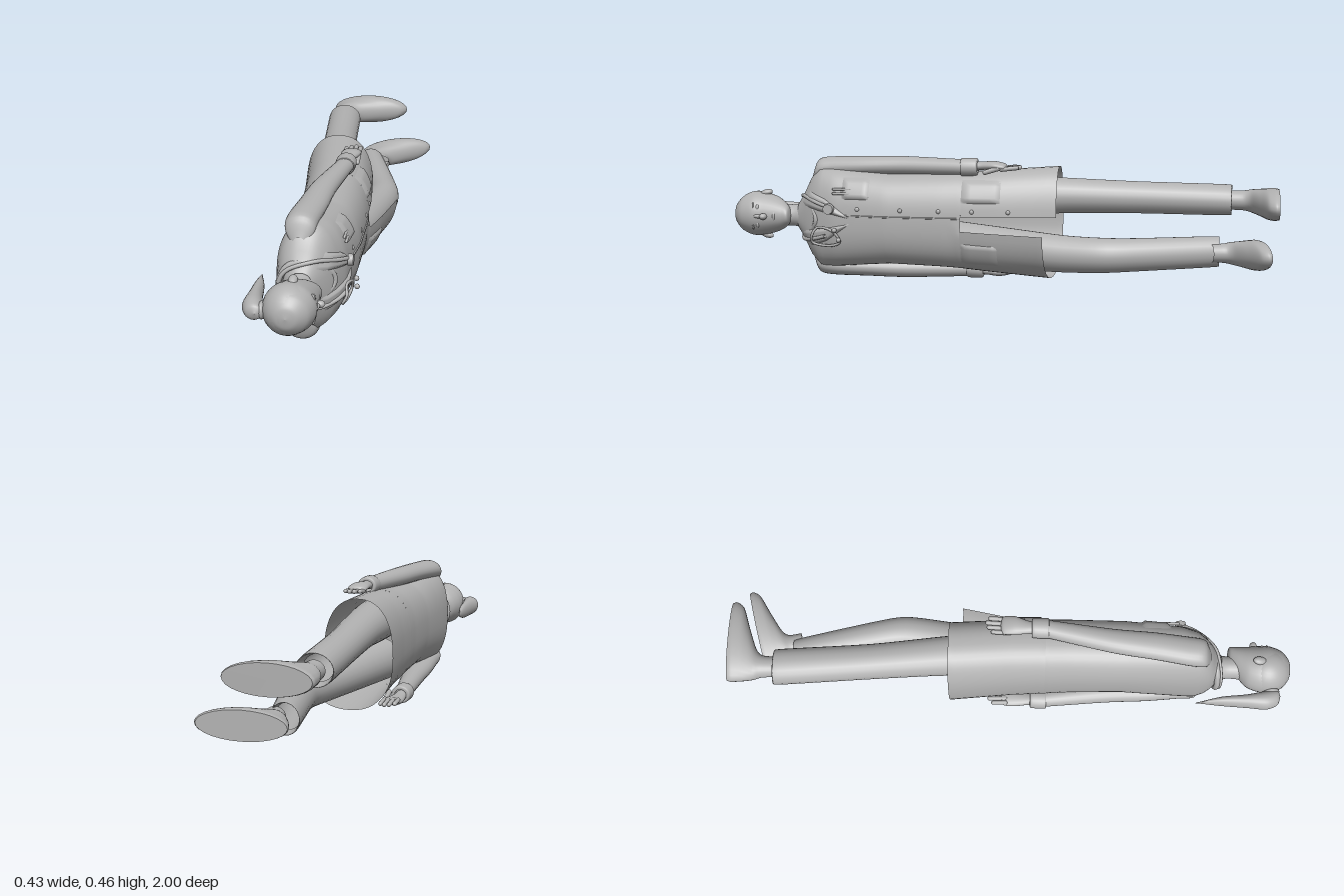
import * as THREE from 'three';

const grey = new THREE.MeshStandardMaterial({ color: 0xb2b2b2, side: THREE.DoubleSide });
grey.name = 'plain grey';

const lerp = THREE.MathUtils.lerp;

function add(parent, name, geometry, pos = [0, 0, 0], scale = [1, 1, 1], rot = [0, 0, 0]) {
  const mesh = new THREE.Mesh(geometry, grey);
  mesh.name = name;
  mesh.position.set(...pos);
  mesh.scale.set(...scale);
  mesh.rotation.set(...rot);
  parent.add(mesh);
  return mesh;
}

// Smooth grid from point(u, v), u = 0..1 around, v = 0..1 along
function sheet(nu, nv, point, closed = false) {
  const pos = [], idx = [], w = closed ? nu : nu + 1;
  for (let j = 0; j <= nv; j++)
    for (let i = 0; i < w; i++) pos.push(...point(i / nu, j / nv));
  for (let j = 0; j < nv; j++)
    for (let i = 0; i < nu; i++) {
      const a = j * w + i, b = j * w + (i + 1) % w, c = a + w, d = b + w;
      idx.push(a, c, b, b, c, d);
    }
  const g = new THREE.BufferGeometry();
  g.setAttribute('position', new THREE.Float32BufferAttribute(pos, 3));
  g.setIndex(idx);
  g.computeVertexNormals();
  return g;
}

// Loft through elliptical rings [x, y, z, rx, ry] listed from high z to low z
function loft(rings, sides = 24, steps = 5) {
  const curve = (f) => new THREE.CatmullRomCurve3(rings.map(f), false, 'catmullrom', 0.4);
  const centre = curve((r) => new THREE.Vector3(r[0], r[1], r[2]));
  const radius = curve((r) => new THREE.Vector3(r[3], r[4], 0));
  return sheet(sides, (rings.length - 1) * steps, (u, v) => {
    const a = u * Math.PI * 2, c = centre.getPoint(v), r = radius.getPoint(v);
    return [c.x + Math.max(r.x, 0) * Math.cos(a), c.y + Math.max(r.y, 0) * Math.sin(a), c.z];
  }, true);
}

function tube(points, r, closed = false) {
  const path = new THREE.CatmullRomCurve3(points.map((p) => new THREE.Vector3(...p)), closed);
  return new THREE.TubeGeometry(path, 40, r, 8, closed);
}

// Coat profile: z, back x, front x, half width
const MID = 0.235, E = 0.85, SPLIT = 0.12;
const PROFILE = [
  [0.75, -0.10, -0.02, 0.05], [0.725, -0.125, 0.0, 0.09], [0.70, -0.14, 0.02, 0.145],
  [0.66, -0.15, 0.045, 0.185], [0.6, -0.15, 0.068, 0.182], [0.4, -0.145, 0.088, 0.165],
  [0.2, -0.15, 0.087, 0.172], [0, -0.165, 0.08, 0.185], [-0.23, -0.19, 0.06, 0.2],
];
function profile(z) {
  let i = 0;
  while (i < PROFILE.length - 2 && z < PROFILE[i + 1][0]) i++;
  const a = PROFILE[i], b = PROFILE[i + 1], t = (z - a[0]) / (b[0] - a[0]);
  const [back, front, ry] = [1, 2, 3].map((k) => lerp(a[k], b[k], t));
  return { cx: (back + front) / 2, rx: (front - back) / 2, ry };
}
// The right side of the skirt is pushed forward by the bent knee
const push = (z, cos) => 0.09 * Math.max(0, (0.15 - z) / 0.35) * (1 + cos) / 2;
const bend = (v) => Math.sign(v) * Math.abs(v) ** E;

function coatPoint(angle, z) {
  const { cx, rx, ry } = profile(z), c = Math.cos(angle), s = Math.sin(angle);
  const shift = angle > Math.PI ? push(z, c) : 0;
  return [cx + rx * bend(c) + shift, MID + ry * bend(s), z + shift * 0.4];
}
function coatFront(y, z) {
  const { cx, rx, ry } = profile(z), k = Math.min(1, Math.abs(y - MID) / ry);
  const c = (1 - k ** (2 / E)) ** 0.5;
  return cx + rx * c ** E + (y < MID ? push(z, c) : 0);
}
// Thin patch on the coat front, corners given as [y, z]
function patch(p, lift = 0.006) {
  return sheet(8, 8, (u, v) => {
    const q = [0, 1].map((k) => lerp(lerp(p[0][k], p[1][k], u), lerp(p[3][k], p[2][k], u), v));
    const edge = u === 0 || u === 1 || v === 0 || v === 1;
    return [coatFront(q[0], q[1]) + (edge ? 0 : lift), q[0], q[1]];
  });
}
const rect = (y0, y1, z0, z1) => [[y0, z1], [y1, z1], [y1, z0], [y0, z0]];

function addCoat(g) {
  add(g, 'coatBody', sheet(48, 36, (u, v) => coatPoint(u * Math.PI * 2, lerp(0.75, SPLIT, v)), true));
  const gap = 0.1;
  add(g, 'coatSkirt', sheet(48, 14, (u, v) =>
    coatPoint(lerp(gap, Math.PI * 2 - gap, u), lerp(SPLIT, -0.22, v))));
  // Front edge, buttons, pockets and lapels
  add(g, 'coatPlacket', patch(rect(0.252, 0.258, SPLIT, 0.56), 0.004));
  for (const z of [0.5, 0.34, 0.2, 0.08, -0.05])
    add(g, 'button', new THREE.SphereGeometry(0.008, 10, 8), [coatFront(0.28, z), 0.28, z], [0.6, 1, 1]);
  add(g, 'chestPocket', patch(rect(0.315, 0.39, 0.46, 0.56), 0.009));
  add(g, 'leftPocket', patch(rect(0.31, 0.39, -0.02, 0.12), 0.009));
  add(g, 'rightPocket', patch(rect(0.085, 0.165, -0.02, 0.12), 0.009));
  for (const s of [-1, 1])
    add(g, 'lapel', patch([[MID + s * 0.05, 0.735], [MID + s * 0.1, 0.69],
      [MID + s * 0.075, 0.62], [MID + s * 0.01, 0.53]], 0.009));
  for (const y of [0.335, 0.35])
    add(g, 'pen', new THREE.CapsuleGeometry(0.005, 0.06, 4, 8),
      [coatFront(y, 0.55) + 0.006, y, 0.56], [1, 1, 1], [Math.PI / 2, 0, 0]);
  add(g, 'collar', tube([[-0.13, MID, 0.735], [-0.1, 0.3, 0.73], [-0.03, 0.305, 0.715],
    [0.035, 0.25, 0.665], [0.035, 0.22, 0.665], [-0.03, 0.165, 0.715], [-0.1, 0.17, 0.73]], 0.011, true));
}

function addHead(g) {
  add(g, 'neck', loft([[-0.058, MID, 0.83, 0.045, 0.045], [-0.06, MID, 0.77, 0.04, 0.04],
    [-0.062, MID, 0.70, 0.055, 0.06]]));
  add(g, 'head', loft([[-0.065, 0.238, 1.0, 0, 0], [-0.065, 0.238, 0.992, 0.037, 0.036],
    [-0.065, 0.238, 0.965, 0.068, 0.066], [-0.064, 0.238, 0.92, 0.083, 0.081],
    [-0.064, 0.238, 0.88, 0.081, 0.078], [-0.056, 0.238, 0.84, 0.072, 0.067],
    [-0.036, 0.238, 0.805, 0.051, 0.05], [-0.018, 0.238, 0.782, 0.032, 0.03],
    [-0.015, 0.238, 0.775, 0, 0]], 32));
  add(g, 'hairCap', new THREE.SphereGeometry(0.084, 28, 20), [-0.069, 0.238, 0.915], [0.96, 0.99, 1]);
  const ball = new THREE.SphereGeometry(1, 16, 12);
  add(g, 'nose', ball, [0.02, 0.238, 0.87], [0.018, 0.012, 0.014]);
  add(g, 'noseBridge', ball, [0.014, 0.238, 0.888], [0.01, 0.008, 0.024]);
  add(g, 'lips', ball, [0.006, 0.238, 0.832], [0.012, 0.02, 0.008]);
  for (const s of [-1, 1]) {
    add(g, 'eye', ball, [0.006, 0.238 + s * 0.03, 0.895], [0.008, 0.013, 0.007]);
    add(g, 'brow', ball, [0.006, 0.238 + s * 0.032, 0.912], [0.008, 0.019, 0.004]);
    add(g, 'ear', ball, [-0.06, 0.238 + s * 0.079, 0.88], [0.015, 0.012, 0.025], [s * 0.25, 0, 0]);
  }
  // Gathered hair at the back
  add(g, 'ponytail', loft([[-0.165, MID, 0.962, 0, 0], [-0.17, MID, 0.95, 0.027, 0.025],
    [-0.18, MID, 0.91, 0.033, 0.035], [-0.185, MID, 0.84, 0.023, 0.033],
    [-0.188, MID, 0.75, 0.015, 0.026], [-0.196, MID, 0.66, 0, 0.004]]));
  add(g, 'hairTie', new THREE.TorusGeometry(0.02, 0.009, 8, 20), [-0.148, MID, 0.93], [1, 1, 1], [0, Math.PI / 2, 0]);
}

// side = 1 is the left arm, -1 the right; elbow and wrist give x
function addArm(g, side, elbow, wrist) {
  const arm = new THREE.Group();
  arm.name = side > 0 ? 'leftArm' : 'rightArm';
  const y = (v) => MID + side * v;
  add(arm, 'sleeve', loft([[-0.07, y(0.13), 0.70, 0.02, 0.02], [-0.07, y(0.17), 0.675, 0.048, 0.04],
    [-0.068, y(0.183), 0.62, 0.052, 0.038], [lerp(-0.068, elbow, 0.5), y(0.19), 0.5, 0.049, 0.035],
    [elbow, y(0.195), 0.35, 0.043, 0.034], [wrist, y(0.197), 0.11, 0.031, 0.028]]));
  add(arm, 'cuff', loft([[wrist, y(0.197), 0.13, 0.031, 0.028], [wrist, y(0.197), 0.125, 0.036, 0.033],
    [wrist, y(0.198), 0.075, 0.035, 0.032], [wrist, y(0.198), 0.07, 0.022, 0.02]]));
  add(arm, 'palm', loft([[wrist, y(0.2), 0.09, 0.021, 0.017], [wrist, y(0.203), 0.055, 0.024, 0.015],
    [wrist + 0.005, y(0.205), 0.01, 0.034, 0.016], [wrist + 0.006, y(0.2), -0.03, 0.032, 0.013],
    [wrist + 0.006, y(0.198), -0.04, 0, 0]]));
  // Four fingers and a thumb
  for (let i = 0; i < 4; i++) {
    const x = wrist - 0.019 + i * 0.0165, len = [0.045, 0.06, 0.065, 0.055][i];
    add(arm, 'finger', new THREE.CapsuleGeometry(0.008, len, 5, 10),
      [x, y(0.197), -0.02 - len / 2], [1, 1, 1], [Math.PI / 2 + side * 0.12, 0, 0]);
  }
  add(arm, 'thumb', new THREE.CapsuleGeometry(0.009, 0.05, 5, 10),
    [wrist + 0.032, y(0.19), 0.015], [1, 1, 1], [Math.PI / 2 + side * 0.3, 0, 0]);
  g.add(arm);
}

// Foot stands on its sole: local z = 0 is the ground, heel near x = -0.06
function makeFoot(name) {
  const foot = new THREE.Group();
  foot.name = name;
  add(foot, 'shoe', loft([[0.0, 0, 0.17, 0.036, 0.034], [0, 0, 0.12, 0.04, 0.036],
    [0.008, 0, 0.095, 0.057, 0.041], [0.045, 0, 0.065, 0.1, 0.047],
    [0.08, 0, 0.04, 0.138, 0.053], [0.09, 0, 0.015, 0.15, 0.055], [0.09, 0, 0, 0.146, 0.052]], 28));
  add(foot, 'sole', new THREE.CircleGeometry(1, 28), [0.09, 0, 0], [0.146, 0.052, 1], [Math.PI, 0, 0]);
  return foot;
}

function addLegs(g) {
  add(g, 'leftTrouser', loft([[-0.05, 0.32, 0.15, 0.075, 0.08], [-0.06, 0.325, -0.05, 0.078, 0.075],
    [-0.075, 0.327, -0.25, 0.07, 0.064], [-0.1, 0.322, -0.5, 0.063, 0.058],
    [-0.125, 0.316, -0.815, 0.064, 0.056], [-0.125, 0.316, -0.82, 0.058, 0.05],
    [-0.125, 0.316, -0.79, 0.05, 0.044]]));
  add(g, 'rightTrouser', loft([[-0.03, 0.15, 0.15, 0.075, 0.08], [0.02, 0.142, -0.05, 0.075, 0.074],
    [0.06, 0.135, -0.25, 0.066, 0.066], [0.077, 0.136, -0.39, 0.063, 0.062],
    [0.06, 0.138, -0.5, 0.06, 0.059], [-0.008, 0.145, -0.775, 0.052, 0.055],
    [-0.01, 0.145, -0.785, 0.047, 0.05], [-0.008, 0.145, -0.75, 0.042, 0.044]]));
  const left = makeFoot('leftFoot');
  left.position.set(-0.125, 0.315, -1);
  const right = makeFoot('rightFoot');
  right.position.set(-0.01, 0.145, -0.915);
  right.rotation.set(0, 0.27, 0.07);
  right.scale.set(0.97, 0.95, 0.9);
  g.add(left, right);
}

// Tubing round the neck, ending in a chest disc and two ear pieces
function addStethoscope(g) {
  add(g, 'neckTubing', tube([[0.082, 0.285, 0.6], [0.05, 0.3, 0.66], [-0.02, 0.315, 0.725],
    [-0.11, 0.285, 0.745], [-0.13, MID, 0.745], [-0.11, 0.185, 0.745], [-0.02, 0.155, 0.725],
    [0.045, 0.165, 0.67], [0.075, 0.18, 0.62]], 0.007));
  add(g, 'chestDisc', new THREE.CylinderGeometry(0.018, 0.02, 0.018, 20),
    [0.083, 0.28, 0.605], [1, 1, 1], [0, 0, -Math.PI / 2]);
  add(g, 'earTubes', tube([[0.078, 0.18, 0.67], [0.075, 0.21, 0.65], [0.087, 0.2, 0.59],
    [0.08, 0.16, 0.565], [0.072, 0.145, 0.6], [0.065, 0.155, 0.67]], 0.005, true));
  for (const [y, z] of [[0.17, 0.565], [0.205, 0.58]])
    add(g, 'earPiece', new THREE.SphereGeometry(0.009, 10, 8), [0.098, y, z]);
}

export function createModel() {
  const g = new THREE.Group();
  g.name = 'recliningFigure';
  addCoat(g);
  addHead(g);
  addArm(g, 1, -0.04, 0.0);
  addArm(g, -1, -0.095, -0.13);
  addLegs(g);
  addStethoscope(g);
  return g;
}
